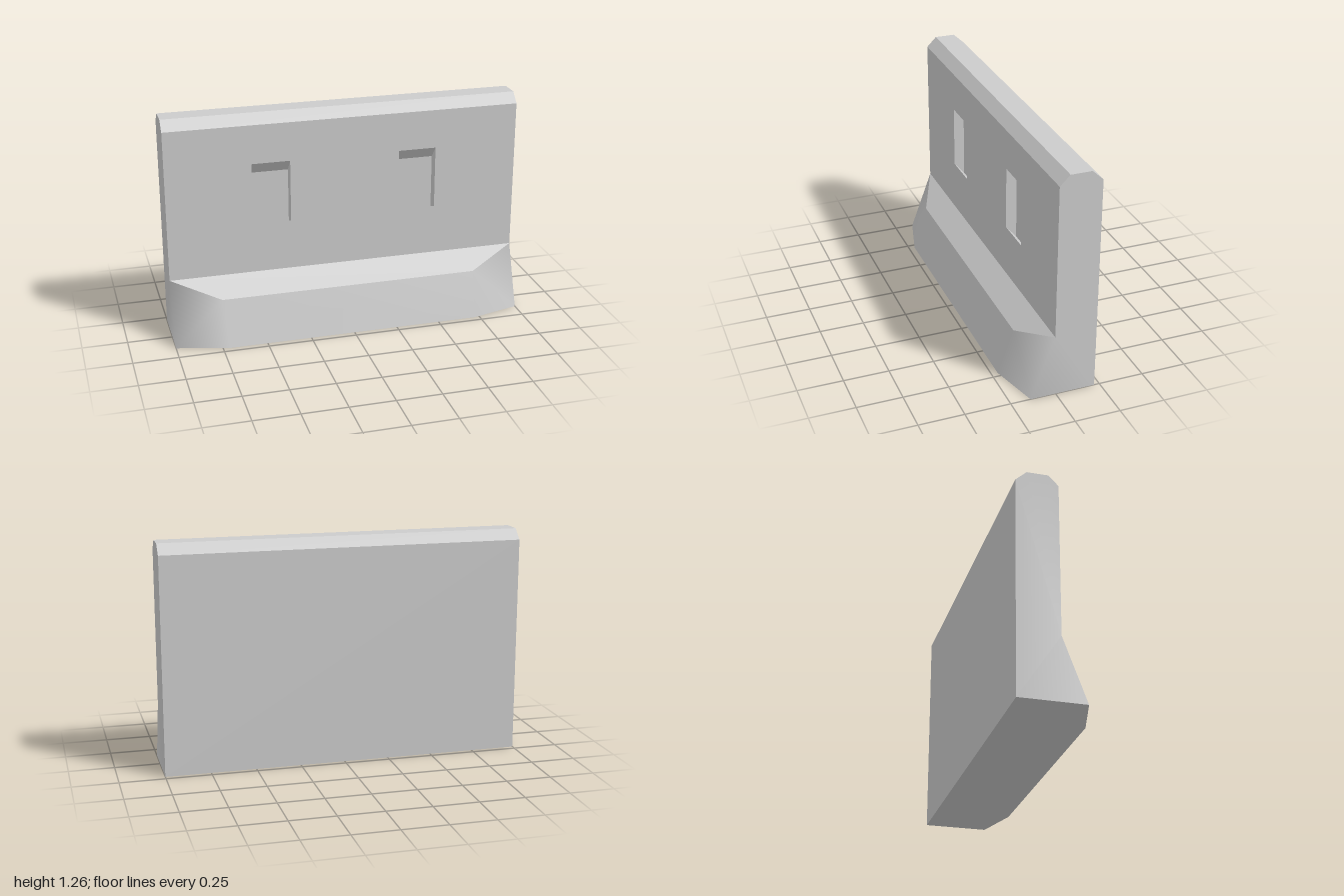
import * as THREE from 'three';

const material = new THREE.MeshStandardMaterial({ color: 0xcccccc });

// End outline as [z, y], counter-clockwise seen from +x
const END = {
  backBottom: [-0.22, 0], backTop: [-0.22, 1.205],
  capBack: [-0.16, 1.26], capFront: [-0.045, 1.26],
  frontTop: [0.01, 1.205], ledge: [0.01, 0.35], toe: [0.14, 0],
};
const at = (name, side) => [side, END[name][1], END[name][0]];
const footTop = (side) => [0.73 * side, 0.255, 0.13];
const footBottom = (side) => [0.72 * side, 0, 0.215];

function addMesh(group, name, geometry) {
  const mesh = new THREE.Mesh(geometry, material);
  mesh.name = name;
  group.add(mesh);
}

// Convex polygons, each fanned into flat triangles
function flatFaces(polygons) {
  const positions = [];
  for (const p of polygons) {
    for (let i = 1; i < p.length - 1; i++) positions.push(...p[0], ...p[i], ...p[i + 1]);
  }
  const g = new THREE.BufferGeometry();
  g.setAttribute('position', new THREE.Float32BufferAttribute(positions, 3));
  g.computeVertexNormals();
  return g;
}

// Ends, foot corners and foot front share vertices so they shade smoothly
function smoothShell() {
  const positions = [], index = [];
  const names = ['ledge', 'toe', 'backBottom', 'backTop', 'capBack', 'capFront', 'frontTop'];
  [1, -1].forEach((side, s) => {
    const o = s * 9;
    names.forEach((n) => positions.push(...at(n, side)));
    positions.push(...footTop(side), ...footBottom(side));
    const triangles = [[0, 7, 1], [7, 8, 1]];
    for (let i = 1; i < 6; i++) triangles.push([0, i, i + 1]);
    for (const [a, b, c] of triangles) {
      index.push(a + o, ...(side > 0 ? [b + o, c + o] : [c + o, b + o]));
    }
  });
  index.push(16, 17, 8, 16, 8, 7);
  const g = new THREE.BufferGeometry();
  g.setAttribute('position', new THREE.Float32BufferAttribute(positions, 3));
  g.setIndex(index);
  g.computeVertexNormals();
  return g;
}

export function createModel() {
  const group = new THREE.Group();
  group.name = 'barrierWall';
  const zFront = END.ledge[0];
  const slot = { x: 0.4175, half: 0.1075, bottom: 0.635, top: 0.985, depth: 0.06, drop: 0.07 };
  const slotCorners = (side) => [[-1, slot.bottom], [1, slot.bottom], [1, slot.top], [-1, slot.top]]
    .map(([sx, y]) => [side * slot.x + sx * slot.half, y]);

  // Front panel with two slot openings
  const [y0, y1] = [END.ledge[1], END.frontTop[1]];
  const panel = new THREE.Shape([[-1, y0], [1, y0], [1, y1], [-1, y1]].map((p) => new THREE.Vector2(...p)));
  for (const side of [-1, 1]) {
    panel.holes.push(new THREE.Path(slotCorners(side).map((p) => new THREE.Vector2(...p))));
  }
  addMesh(group, 'frontPanel', new THREE.ShapeGeometry(panel).translate(0, 0, zFront));

  // Slots slope downward into the wall
  for (const side of [-1, 1]) {
    const outer = slotCorners(side).map(([x, y]) => [x, y, zFront]);
    const inner = outer.map(([x, y, z]) => [x, y - slot.drop, z - slot.depth]);
    const walls = outer.map((p, i) => [p, outer[(i + 1) % 4], inner[(i + 1) % 4], inner[i]]);
    addMesh(group, side > 0 ? 'leftSlot' : 'rightSlot', flatFaces([...walls, inner]));
  }

  // Chamfered cap and back
  const strip = (a, b) => [at(a, -1), at(a, 1), at(b, 1), at(b, -1)];
  addMesh(group, 'cap', flatFaces([
    strip('frontTop', 'capFront'), strip('capFront', 'capBack'), strip('capBack', 'backTop'),
  ]));
  addMesh(group, 'backPanel', flatFaces([strip('backTop', 'backBottom')]));

  // Sloping foot, ends and underside
  addMesh(group, 'footLedge', flatFaces([[at('ledge', -1), footTop(-1), footTop(1), at('ledge', 1)]]));
  addMesh(group, 'endsAndFoot', smoothShell());
  addMesh(group, 'underside', flatFaces([[
    at('backBottom', -1), at('backBottom', 1), at('toe', 1),
    footBottom(1), footBottom(-1), at('toe', -1),
  ]]));
  return group;
}
